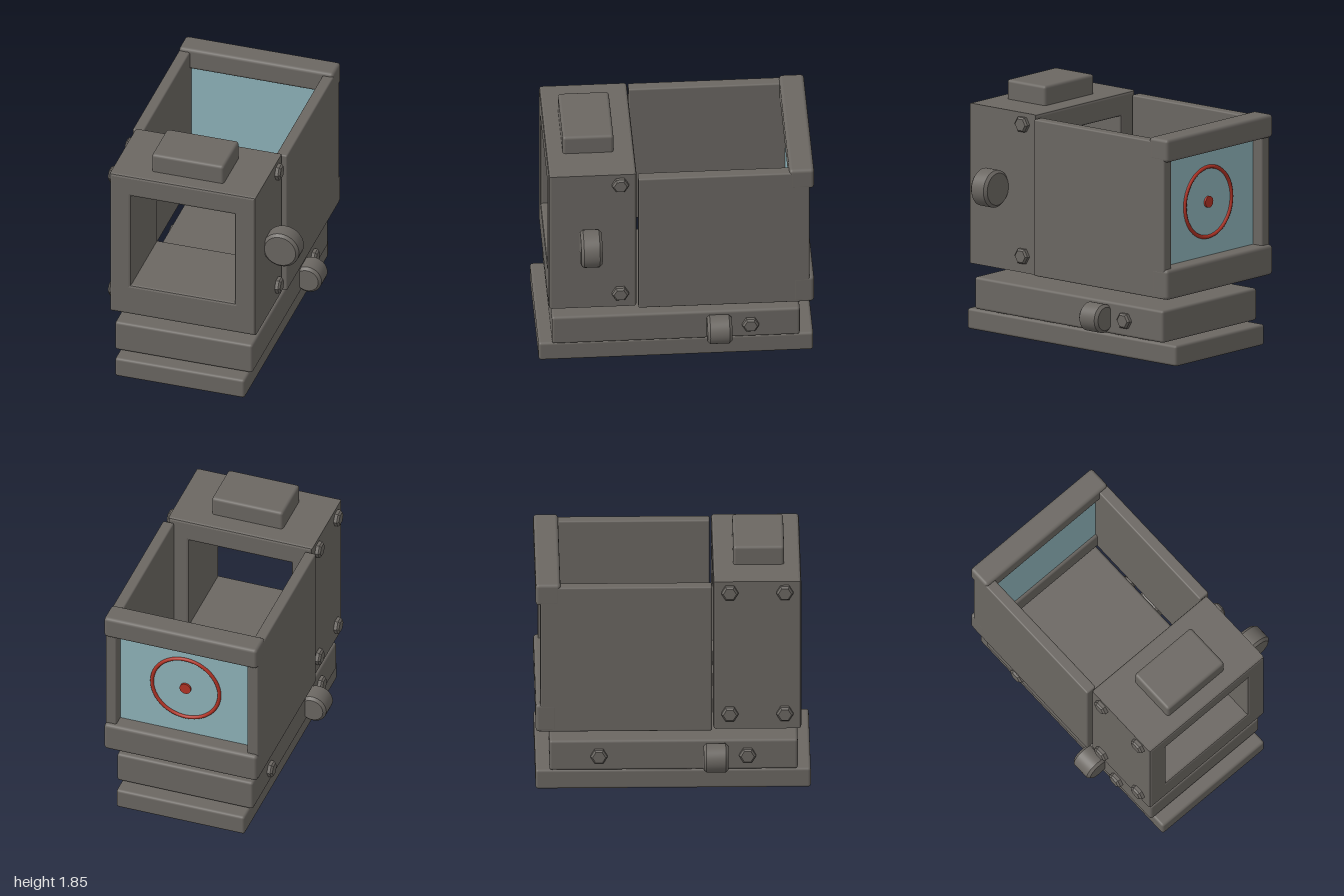
import * as THREE from 'three';
import { toCreasedNormals } from 'three/addons/utils/BufferGeometryUtils.js';
import { RoundedBoxGeometry } from 'three/addons/geometries/RoundedBoxGeometry.js';

const CX = -0.065; // centre line of the body
const MID_Y = 1.13; // optical axis height

export function createModel() {
  const model = new THREE.Group();
  model.name = 'reflexSight';

  const metal = new THREE.MeshStandardMaterial({ color: 0x6b6762 });
  metal.name = 'grey metal';
  const glass = new THREE.MeshStandardMaterial({ color: 0x8fb4bb });
  glass.name = 'blue glass';
  const red = new THREE.MeshStandardMaterial({ color: 0xb23325 });
  red.name = 'red reticle';

  const add = (name, geometry, material, x = 0, y = 0, z = 0) => {
    const mesh = new THREE.Mesh(geometry, material);
    mesh.name = name;
    mesh.position.set(x, y, z);
    model.add(mesh);
    return mesh;
  };

  // Rounded block given by its extents
  const block = (name, [x0, x1], [y0, y1], [z0, z1], r = 0.02) =>
    add(name, new RoundedBoxGeometry(x1 - x0, y1 - y0, z1 - z0, 2, r), metal,
      (x0 + x1) / 2, (y0 + y1) / 2, (z0 + z1) / 2);

  // Chamfered disc standing on y = 0
  const turned = (radius, length, chamfer, sides, bothEnds) => {
    const points = [
      [0, 0],
      ...(bothEnds ? [[radius - chamfer, 0], [radius, chamfer]] : [[radius, 0]]),
      [radius, length - chamfer], [radius - chamfer, length], [0, length],
    ].map(([x, y]) => new THREE.Vector2(x, y));
    return toCreasedNormals(new THREE.LatheGeometry(points, sides), 0.4);
  };

  // Mounting base, clamp rail and the locking teeth between them
  block('base', [-0.56, 0.43], [0, 0.155], [-1, 1]);
  block('rail', [-0.59, 0.46], [0.165, 0.405], [-0.9, 0.905]);
  for (let i = -3; i <= 3; i++) {
    add('lockingTooth', new THREE.BoxGeometry(0.95, 0.03, 0.1), metal, CX, 0.16, i * 0.225);
  }

  // Front housing: a thick square frame open from front to back
  const rect = (Type, x0, x1, y0, y1) => {
    const path = new Type();
    path.moveTo(x0, y0);
    path.lineTo(x1, y0);
    path.lineTo(x1, y1);
    path.lineTo(x0, y1);
    path.closePath();
    return path;
  };
  const frame = rect(THREE.Shape, -0.62, 0.49, 0.51, 1.7);
  frame.holes.push(rect(THREE.Path, -0.46, 0.33, 0.76, 1.53));
  const bevel = 0.018;
  const housing = new THREE.ExtrudeGeometry(frame, {
    depth: 0.64 - 2 * bevel, bevelEnabled: true, bevelSize: bevel,
    bevelThickness: bevel, bevelOffset: -bevel, bevelSegments: 2,
  });
  add('frontHousing', housing, metal, 0, 0, 0.29 + bevel);
  block('topBlock', [-0.34, 0.21], [1.68, 1.845], [0.44, 0.81], 0.022);

  // Side walls and the two bars joining them at the back
  block('rightWall', [-0.655, -0.57], [0.51, 1.675], [-0.967, 0.28], 0.012);
  block('leftWall', [0.44, 0.525], [0.51, 1.675], [-0.967, 0.28], 0.012);
  block('backTopBar', [-0.656, 0.526], [1.53, 1.7], [-1, -0.82], 0.025);
  block('backBottomBar', [-0.656, 0.526], [0.508, 0.73], [-1, -0.84], 0.025);

  // Lens with ring and dot on its rear face
  add('lens', new THREE.BoxGeometry(1.02, 0.9, 0.02), glass, CX, MID_Y, -0.87);
  add('reticleRing', new THREE.TorusGeometry(0.26, 0.014, 8, 48), red, CX, MID_Y, -0.882);
  const dot = new THREE.CylinderGeometry(0.043, 0.043, 0.02, 24).rotateX(Math.PI / 2);
  add('reticleDot', dot, red, CX, MID_Y, -0.885);

  // Adjustment knobs, turning about the z axis
  const knob = (name, x, y, z, radius, length) =>
    add(name, turned(radius, length, 0.02, 32, true).rotateX(Math.PI / 2), metal, x, y, z - length / 2);
  knob('housingKnob', 0.607, MID_Y, 0.63, 0.139, 0.155);
  knob('leftRailKnob', 0.515, 0.285, -0.31, 0.106, 0.18);
  knob('rightRailKnob', -0.642, 0.285, 0.31, 0.106, 0.18);

  // Hexagonal bolts; side is +1 for left, -1 for right
  const bolt = (name, side, x, y, z, radius = 0.062) => {
    const geometry = turned(radius, 0.05, 0.014, 6, false).rotateZ(-side * Math.PI / 2);
    add(name, geometry, metal, x - side * 0.012, y, z);
  };
  for (const y of [1.615, 0.635]) {
    bolt('housingBolt', 1, 0.49, y, 0.41);
    for (const z of [0.41, 0.81]) bolt('housingBolt', -1, -0.62, y, z);
  }
  bolt('railBolt', 1, 0.46, 0.285, -0.54);
  for (const z of [-0.54, 0.54]) bolt('railBolt', -1, -0.59, 0.285, z);

  return model;
}
